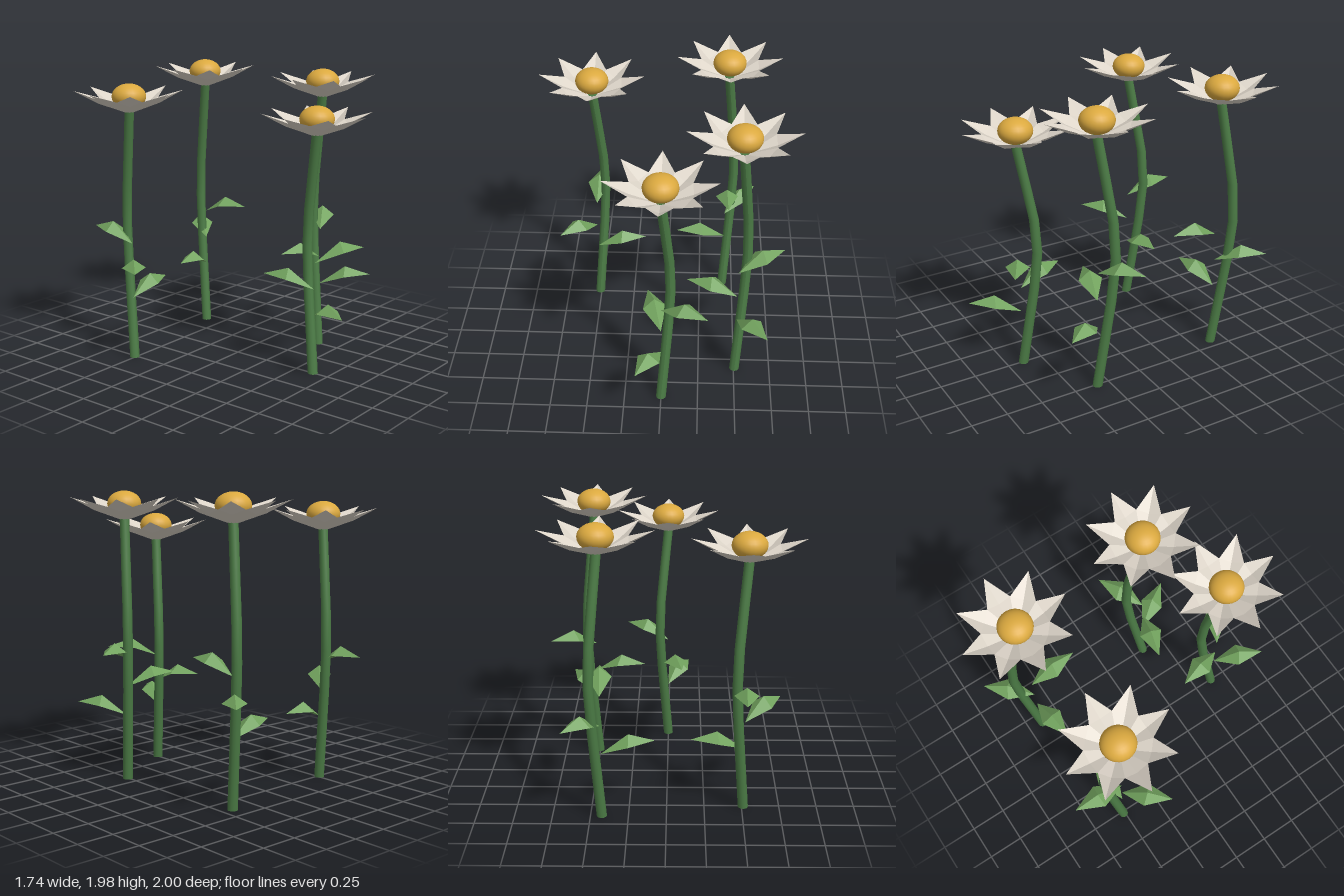
import * as THREE from 'three';

const material = (name, color, extra = {}) =>
  Object.assign(new THREE.MeshStandardMaterial({ color, ...extra }), { name });

// Creased kite pointing along +x: base, two raised side corners, midrib and tip
function kite(edge, rib, tip) {
  const b = [0, 0, 0];
  const [r, y, w] = edge;
  const L = [r, y, -w], R = [r, y, w];
  const m = [...rib, 0], t = [...tip, 0];
  const g = new THREE.BufferGeometry();
  g.setAttribute('position', new THREE.Float32BufferAttribute(
    [b, R, m, b, m, L, m, R, t, m, t, L].flat(), 3));
  g.computeVertexNormals();
  return g;
}

// Bowed stem: cylinder rings moved along a gentle arc
function stemGeometry(height) {
  const rings = [0, 0.18, 0.36, 0.53, 0.68, 0.85, 1];
  const bow = [0, 0.38, 0.76, 1, 0.86, 0.41, 0];
  const g = new THREE.CylinderGeometry(0.032, 0.034, 1, 12, rings.length - 1);
  const p = g.attributes.position;
  for (let i = 0; i < p.count; i++) {
    const k = Math.round((p.getY(i) + 0.5) * (rings.length - 1));
    p.setXYZ(i, p.getX(i) + 0.06 * bow[k], rings[k] * height, p.getZ(i) - 0.1 * bow[k]);
  }
  g.computeVertexNormals();
  return g;
}

export function createModel() {
  const model = new THREE.Group();
  model.name = 'daisies';

  const stemGreen = material('stemGreen', 0x4b7b45);
  const leafGreen = material('leafGreen', 0x72a35e, { side: THREE.DoubleSide });
  const petalWhite = material('petalWhite', 0xddd5c9, { side: THREE.DoubleSide });
  const centreYellow = material('centreYellow', 0xdba93f);

  const petalGeo = kite([0.195, 0.1, 0.081], [0.2, 0.07], [0.36, 0.155]);
  const leafGeo = kite([0.17, 0.07, 0.08], [0.18, 0.13], [0.355, 0.075]);
  const discGeo = new THREE.SphereGeometry(0.113, 24, 16);

  const add = (parent, name, geo, mat) => {
    const mesh = new THREE.Mesh(geo, mat);
    mesh.name = name;
    parent.add(mesh);
    return mesh;
  };

  // x, z, stem height, direction of the lowest leaf in degrees
  const plants = [
    [0, 0.635, 1.59, 116],
    [0.505, 0.335, 1.765, 56.5],
    [0.425, -0.64, 1.78, 172],
    [-0.51, -0.51, 1.695, -3.5],
  ];

  for (const [x, z, h, firstLeaf] of plants) {
    const flower = new THREE.Group();
    flower.name = 'flower';
    flower.position.set(x, 0, z);
    model.add(flower);

    add(flower, 'stem', stemGeometry(h + 0.015), stemGreen);

    // Leaves spiral up the stem
    [0.253, 0.365, 0.478].forEach((f, i) => {
      const leaf = add(flower, 'leaf', leafGeo, leafGreen);
      leaf.position.y = f * h;
      leaf.rotation.y = -THREE.MathUtils.degToRad(firstLeaf + 137.5 * i);
    });

    // Flower head
    const head = new THREE.Group();
    head.name = 'flowerHead';
    head.position.y = h;
    flower.add(head);
    for (let i = 0; i < 8; i++) {
      add(head, 'petal', petalGeo, petalWhite).rotation.y = i * Math.PI / 4;
    }
    const disc = add(head, 'flowerCentre', discGeo, centreYellow);
    disc.position.y = 0.115;
    disc.scale.y = 0.75;
  }
  return model;
}
